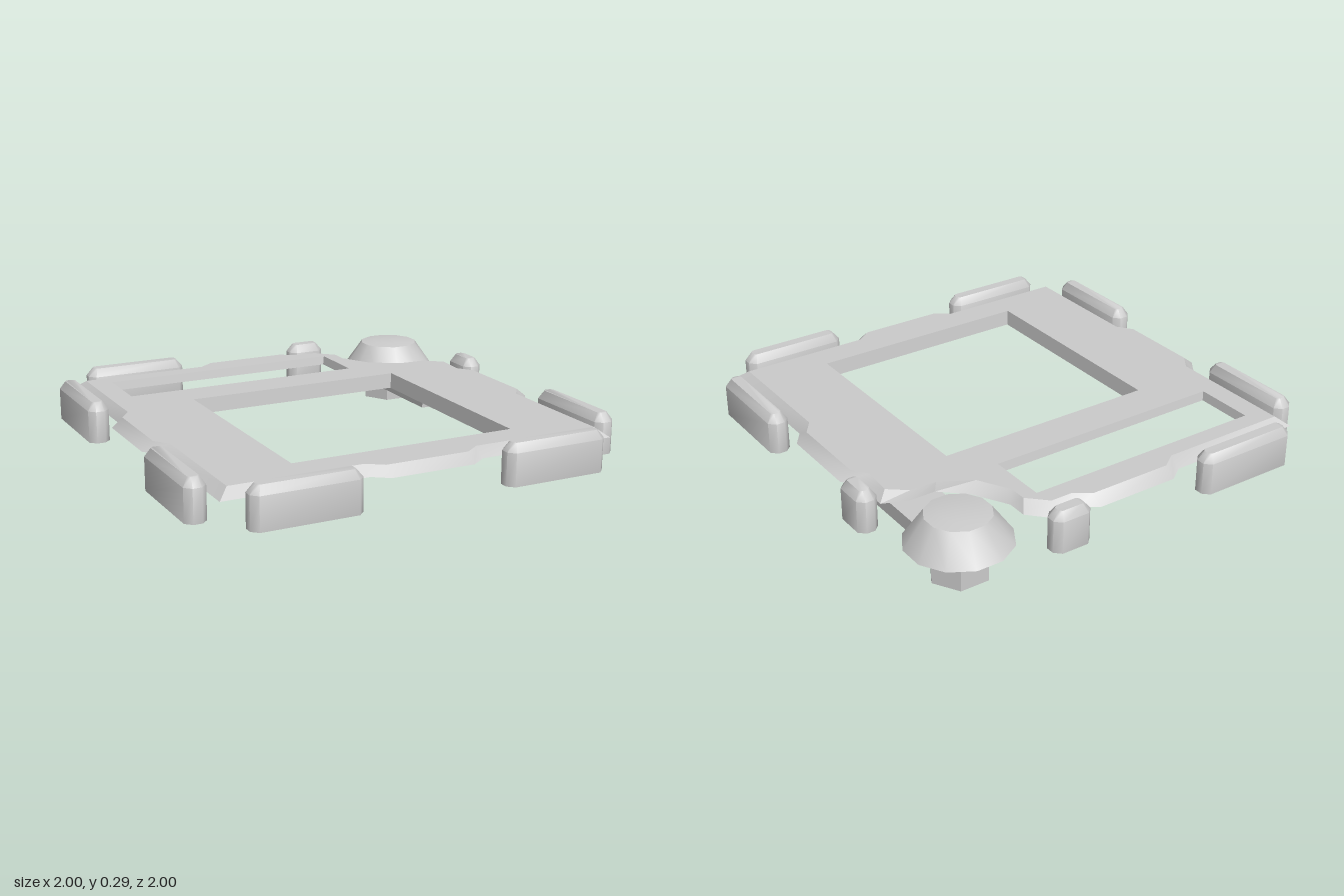
import * as THREE from 'three';
import { toCreasedNormals } from 'three/addons/utils/BufferGeometryUtils.js';

const material = new THREE.MeshStandardMaterial({ color: 0xcccccc, side: THREE.DoubleSide });

function addMesh(parent, name, geometry) {
  const mesh = new THREE.Mesh(geometry, material);
  mesh.name = name;
  parent.add(mesh);
  return mesh;
}

// Lifts a plan outline of [x, z] pairs to height y
const ring = (outline, y) => outline.map(([x, z]) => new THREE.Vector3(x, y, z));

// Skins closed rings in order; an optional fan closes the last (convex) ring
function loft(rings, capped = false, crease = 0.5) {
  const points = [];
  for (let r = 0; r < rings.length - 1; r++) {
    rings[r].forEach((a, i) => {
      const j = (i + 1) % rings[r].length;
      const b = rings[r][j], c = rings[r + 1][j], d = rings[r + 1][i];
      points.push(a, d, b, b, d, c);
    });
  }
  if (capped) {
    const top = rings[rings.length - 1];
    for (let i = 1; i < top.length - 1; i++) points.push(top[0], top[i + 1], top[i]);
  }
  const geometry = new THREE.BufferGeometry().setFromPoints(points);
  geometry.computeVertexNormals();
  return toCreasedNormals(geometry, crease);
}

// Rectangle with cut corners, in plan
function cutRect(halfX, halfZ, cut) {
  const x = halfX - cut, z = halfZ - cut;
  return [[-x, -halfZ], [x, -halfZ], [halfX, -z], [halfX, z],
    [x, halfZ], [-x, halfZ], [-halfX, z], [-halfX, -z]];
}

const rect = (x0, x1, z0, z1) => [[x0, z0], [x1, z0], [x1, z1], [x0, z1]];

// Plate outline: square with a tab on each side and a notch at the back left corner
function plateOutline(half, tab, notch) {
  return [
    [-half, -half], [-0.26, -half], [-0.19, -tab], [0.19, -tab], [0.26, -half],
    ...notch,
    [half, -0.26], [tab, -0.19], [tab, 0.19], [half, 0.26], [half, half],
    [0.26, half], [0.19, tab], [-0.19, tab], [-0.26, half], [-half, half],
    [-half, 0.26], [-tab, 0.19], [-tab, -0.19], [-half, -0.26],
  ];
}

function createPlate() {
  const plate = new THREE.Group();
  plate.name = 'plate';
  const lower = plateOutline(0.9, 0.95,
    [[0.4, -0.9], [0.475, -0.82], [0.475, -0.73], [0.56, -0.58], [0.67, -0.475], [0.79, -0.475], [0.9, -0.43]]);
  const upper = plateOutline(0.85, 0.9,
    [[0.36, -0.85], [0.44, -0.77], [0.44, -0.69], [0.52, -0.55], [0.66, -0.47], [0.78, -0.465], [0.86, -0.4]]);
  const windows = [
    { name: 'smallWindowWall', box: [-0.75, 0.375, -0.77, -0.495], bottom: 0.2 },
    { name: 'largeWindowWall', box: [-0.515, 0.515, -0.32, 0.715], bottom: 0.17 },
  ];

  // Flat top with both windows cut out
  const toShape = (outline) => outline.map(([x, z]) => new THREE.Vector2(x, -z));
  const face = new THREE.Shape(toShape(upper));
  windows.forEach(({ box }) => face.holes.push(new THREE.Path(toShape(rect(...box)))));
  addMesh(plate, 'plateTop', new THREE.ShapeGeometry(face).rotateX(-Math.PI / 2).translate(0, 0.24, 0));

  // Sloping rim and the walls hanging around each window
  addMesh(plate, 'plateRim', loft([ring(lower, 0.2), ring(upper, 0.24)]));
  windows.forEach(({ name, box: [x0, x1, z0, z1], bottom }) => {
    const e = 0.008;
    addMesh(plate, name, loft([
      ring(rect(x0, x1, z0, z1), 0.24),
      ring(rect(x0 + e, x1 - e, z0 + e, z1 - e), bottom),
    ]));
  });
  return plate;
}

// Bumper shell, open underneath, with chamfered ends and top
function createBumper(length) {
  const outer = cutRect(length / 2, 0.0475, 0.028);
  const inner = cutRect(length / 2 - 0.03, 0.024, 0.012);
  return loft([ring(outer, 0.09), ring(outer, 0.235), ring(inner, 0.272)], true, 0.9);
}

export function createModel() {
  const model = new THREE.Group();
  model.name = 'framePanel';
  model.add(createPlate());

  // Bumpers: name, x, z, length, runs along z
  const edge = 0.9525;
  [
    ['frontBumperLeft', 0.57, edge, 0.48, false],
    ['frontBumperRight', -0.57, edge, 0.48, false],
    ['backBumperRight', -0.57, -edge, 0.48, false],
    ['backBumperShort', 0.35, -edge, 0.18, false],
    ['rightBumperFront', -edge, 0.57, 0.48, true],
    ['rightBumperBack', -edge, -0.575, 0.48, true],
    ['leftBumperFront', edge, 0.57, 0.48, true],
    ['leftBumperShort', edge, -0.35, 0.18, true],
  ].forEach(([name, x, z, length, alongZ]) => {
    const bumper = addMesh(model, name, createBumper(length));
    bumper.position.set(x, 0, z);
    if (alongZ) bumper.rotation.y = Math.PI / 2;
  });

  // Knob on a hexagonal post at the notched corner
  const knob = new THREE.Group();
  knob.name = 'knob';
  knob.position.set(0.745, 0, -0.765);
  const profile = [[0.228, 0.155], [0.14, 0.28], [0.08, 0.288], [0, 0.29]]
    .map(([r, y]) => new THREE.Vector2(r, y));
  const cap = new THREE.LatheGeometry(profile, 12, Math.PI / 12);
  addMesh(knob, 'knobCap', toCreasedNormals(cap, 0.6));
  const post = new THREE.CylinderGeometry(0.13, 0.13, 0.17, 6);
  addMesh(knob, 'knobPost', toCreasedNormals(post, 0.6).rotateY(Math.PI / 6).translate(0, 0.085, 0));
  model.add(knob);

  // Arm tying the post to the plate
  addMesh(model, 'knobArm', new THREE.BoxGeometry(0.22, 0.065, 0.5).translate(0.72, 0.1225, -0.43));
  return model;
}
